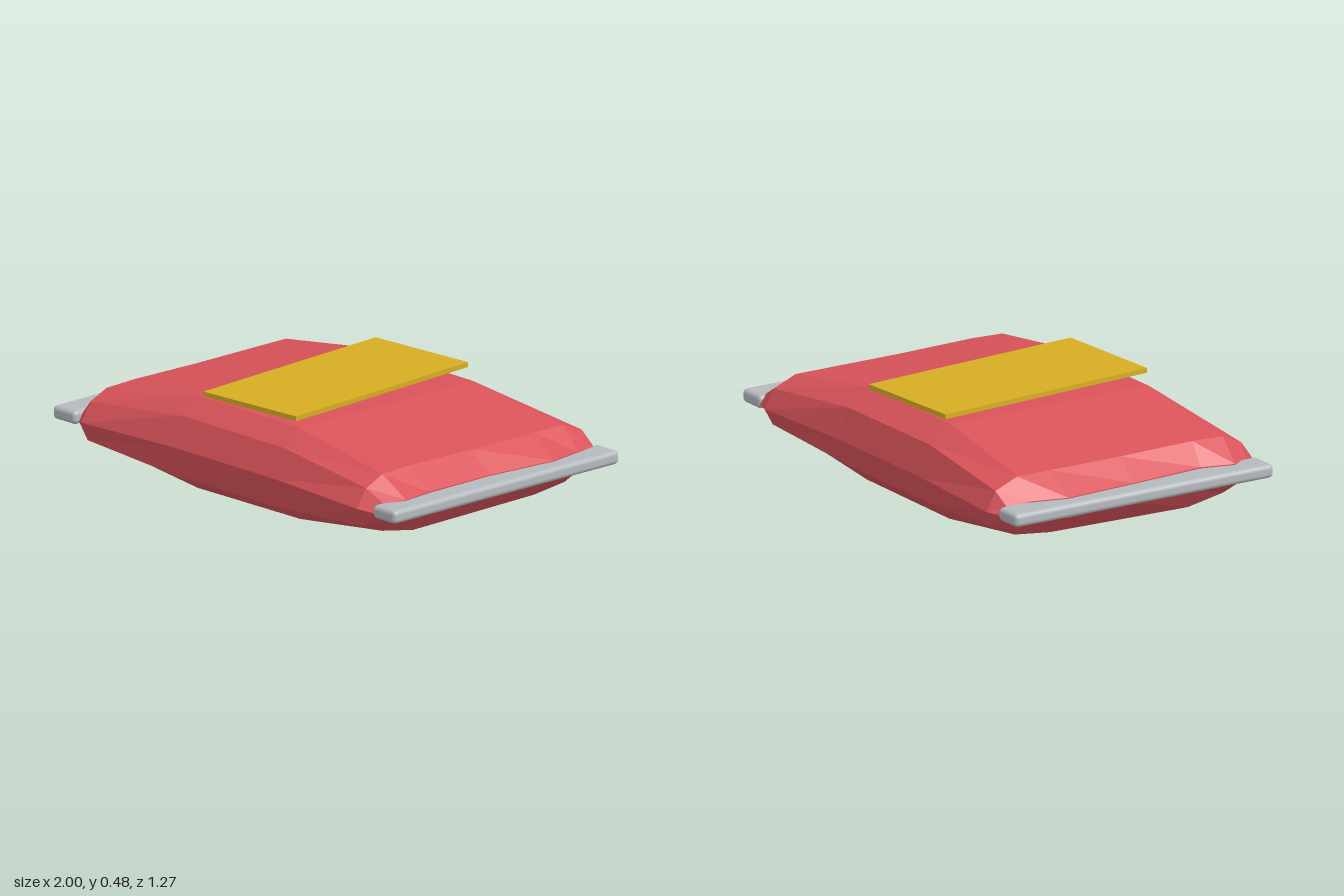
import * as THREE from 'three';
import { RoundedBoxGeometry } from 'three/addons/geometries/RoundedBoxGeometry.js';

// Middle cross-section of the bag as [z, y], from the front seam over the top and back underneath
const SECTION = [
  [0.605, 0.25], [0.555, 0.37], [0.47, 0.436], [0.33, 0.444], [0, 0.437], [-0.32, 0.438],
  [-0.47, 0.438], [-0.57, 0.37], [-0.61, 0.24], [-0.575, 0.13], [-0.48, 0.05], [-0.32, 0.02],
  [0, 0.012], [0.31, 0.005], [0.47, 0.055], [0.57, 0.12],
];
const MID = 0.235;

// Uneven gathered edges, x by column from front to back
const LEFT_EDGE = [0.87, 0.9, 0.92, 0.905, 0.9, 0.93, 0.905, 0.9, 0.87];
const RIGHT_EDGE = [-0.84, -0.87, -0.92, -0.885, -0.91, -0.93, -0.89, -0.87, -0.85];

// Stations along x: height scale, depth scale and x (one number or one per column)
const STATIONS = [
  { x: RIGHT_EDGE, h: 0.2, d: 1.01 },
  { x: -0.81, h: 0.62, d: 1.04 },
  { x: -0.3, h: 1.01, d: 1 },
  { x: 0.3, h: 0.99, d: 1 },
  { x: 0.8, h: 0.62, d: 1.045 },
  { x: LEFT_EDGE, h: 0.2, d: 1.01 },
];

function bagGeometry() {
  const n = SECTION.length, pos = [], index = [];
  for (const { x, h, d } of STATIONS) {
    SECTION.forEach(([z, y], i) => {
      const column = i <= 8 ? i : n - i;
      pos.push(Array.isArray(x) ? x[column] : x, MID + (y - MID) * h, z * d);
    });
  }
  for (let j = 0; j < STATIONS.length - 1; j++) {
    for (let i = 0; i < n; i++) {
      const k = (i + 1) % n;
      const a = j * n + i, b = j * n + k, c = b + n, e = a + n;
      index.push(a, c, b, a, e, c);
    }
  }
  // Close both gathered ends with strips between upper and lower edge
  const last = (STATIONS.length - 1) * n;
  for (let i = 0; i < 8; i++) {
    const a = i, b = i + 1, c = (n - i - 1) % n, e = (n - i) % n;
    index.push(a, b, c, a, c, e);
    index.push(last + a, last + c, last + b, last + a, last + e, last + c);
  }
  const geo = new THREE.BufferGeometry();
  geo.setAttribute('position', new THREE.Float32BufferAttribute(pos, 3));
  geo.setIndex(index);
  const flat = geo.toNonIndexed();
  flat.computeVertexNormals();
  return flat;
}

export function createModel() {
  const model = new THREE.Group();
  const red = new THREE.MeshStandardMaterial({ color: 0xd9535a });
  red.name = 'red wrapper';
  const grey = new THREE.MeshStandardMaterial({ color: 0xb4b9bd });
  grey.name = 'grey seal';
  const gold = new THREE.MeshStandardMaterial({ color: 0xd6ae22 });
  gold.name = 'gold label';

  const add = (name, geometry, material, x, y, z) => {
    const mesh = new THREE.Mesh(geometry, material);
    mesh.name = name;
    mesh.position.set(x, y, z);
    model.add(mesh);
    return mesh;
  };

  // Crumpled pillow-shaped bag
  add('bag', bagGeometry(), red, 0, 0, 0);

  // Rounded seal strips along both ends
  for (const [name, side] of [['leftSeal', 1], ['rightSeal', -1]]) {
    add(name, new RoundedBoxGeometry(0.134, 0.057, 1.23, 3, 0.02), grey, side * 0.933, 0.243, -0.004);
  }

  // Slightly turned label floating over the top
  add('label', new THREE.BoxGeometry(0.502, 0.02, 1.01), gold, -0.003, 0.472, -0.006).rotation.y = 0.073;

  return model;
}
